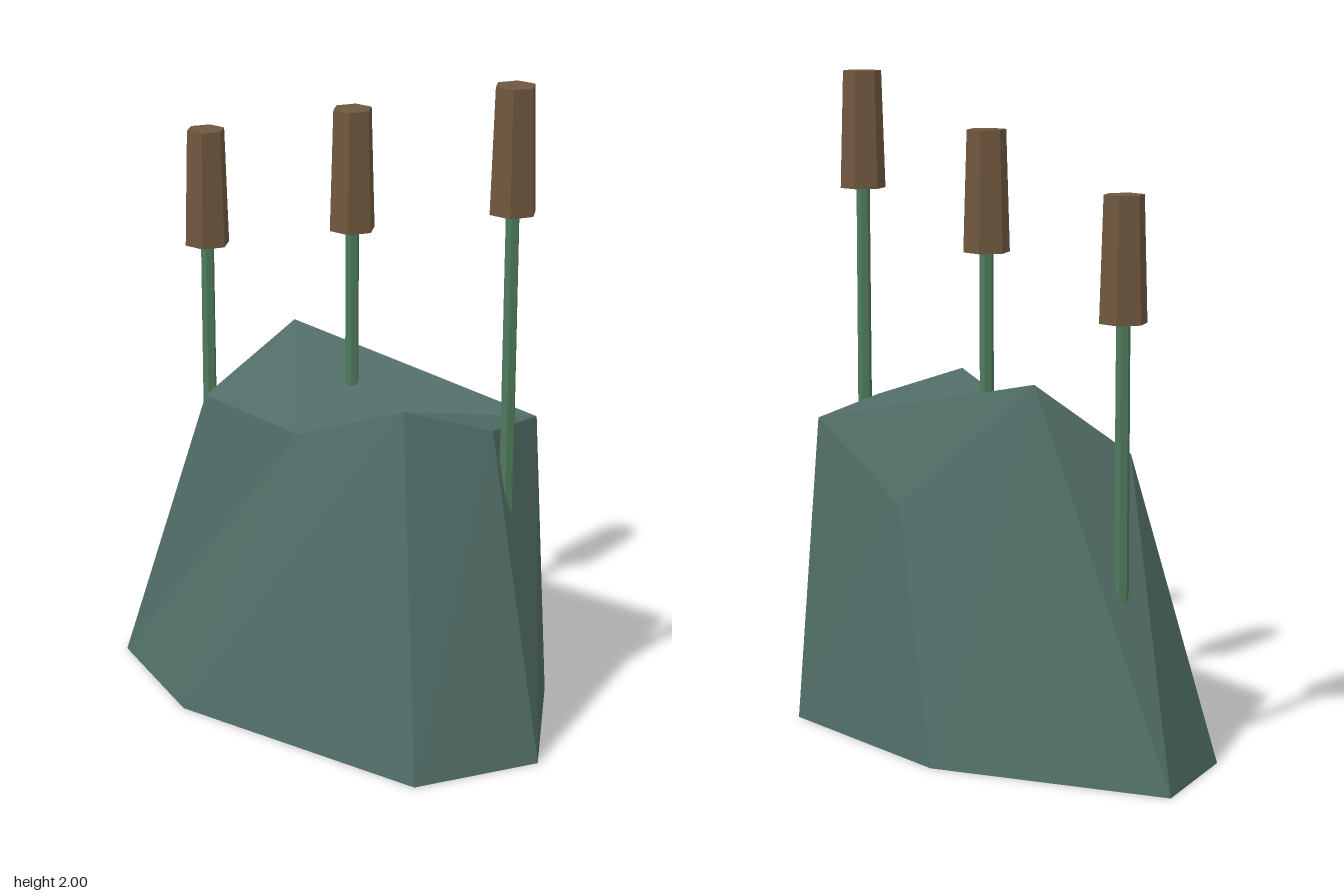
import * as THREE from 'three';

const stone = new THREE.MeshStandardMaterial({ color: 0x506c66, flatShading: true, name: 'stone teal' });
const green = new THREE.MeshStandardMaterial({ color: 0x4f7a5c, flatShading: true, name: 'stem green' });
const brown = new THREE.MeshStandardMaterial({ color: 0x6f583f, flatShading: true, name: 'seed head brown' });

// Seven-sided rock: a ground ring joined to an uneven upper ring
function createRock() {
  const base = [[-0.81, -0.11], [-0.14, -0.43], [0.54, -0.39], [0.81, 0.03],
    [0.62, 0.38], [-0.24, 0.43], [-0.67, 0.23]].map(([x, z]) => [x, 0, z]);
  const rim = [[-0.25, 1.12, -0.12], [0.14, 0.73, -0.31], [0.55, 0.94, -0.29], [0.585, 0.98, -0.02],
    [0.42, 1.06, 0.19], [0.03, 0.9, 0.2], [-0.4, 0.905, 0.13]];
  const n = base.length;
  const positions = [...base, ...rim].flat();
  const index = [];
  // side walls
  for (let i = 0; i < n; i++) {
    const j = (i + 1) % n;
    index.push(j, i, n + i, j, n + i, n + j);
  }
  // underside
  for (let i = 1; i < n - 1; i++) index.push(0, i, i + 1);
  // folded top
  for (const tri of [[2, 1, 0], [5, 2, 0], [6, 5, 0], [5, 4, 2], [4, 3, 2]]) {
    index.push(...tri.map((k) => n + k));
  }
  const indexed = new THREE.BufferGeometry();
  indexed.setAttribute('position', new THREE.Float32BufferAttribute(positions, 3));
  indexed.setIndex(index);
  const geometry = indexed.toNonIndexed();
  geometry.computeVertexNormals();
  const rock = new THREE.Mesh(geometry, stone);
  rock.name = 'rock';
  return rock;
}

// One reed: thin stem rising out of the rock with a tapered hexagonal head
function createReed(x, top) {
  const reed = new THREE.Group();
  reed.name = 'reed';
  const headHeight = 0.365;
  const stemBottom = 0.2;
  const stemTop = top - headHeight + 0.02;

  const stem = new THREE.Mesh(
    new THREE.CylinderGeometry(0.021, 0.023, stemTop - stemBottom, 6), green);
  stem.name = 'stem';
  stem.position.y = (stemTop + stemBottom) / 2;
  stem.rotation.y = Math.PI / 6;

  const head = new THREE.Mesh(new THREE.CylinderGeometry(0.06, 0.071, headHeight, 6), brown);
  head.name = 'seedHead';
  head.position.y = top - headHeight / 2;
  head.rotation.y = Math.PI / 6;

  reed.add(stem, head);
  reed.position.set(x, 0, -0.05);
  return reed;
}

export function createModel() {
  const model = new THREE.Group();
  model.name = 'rockWithReeds';
  model.add(createRock());
  for (const [x, top] of [[-0.545, 1.69], [0.035, 1.845], [0.615, 2]]) {
    model.add(createReed(x, top));
  }
  return model;
}
